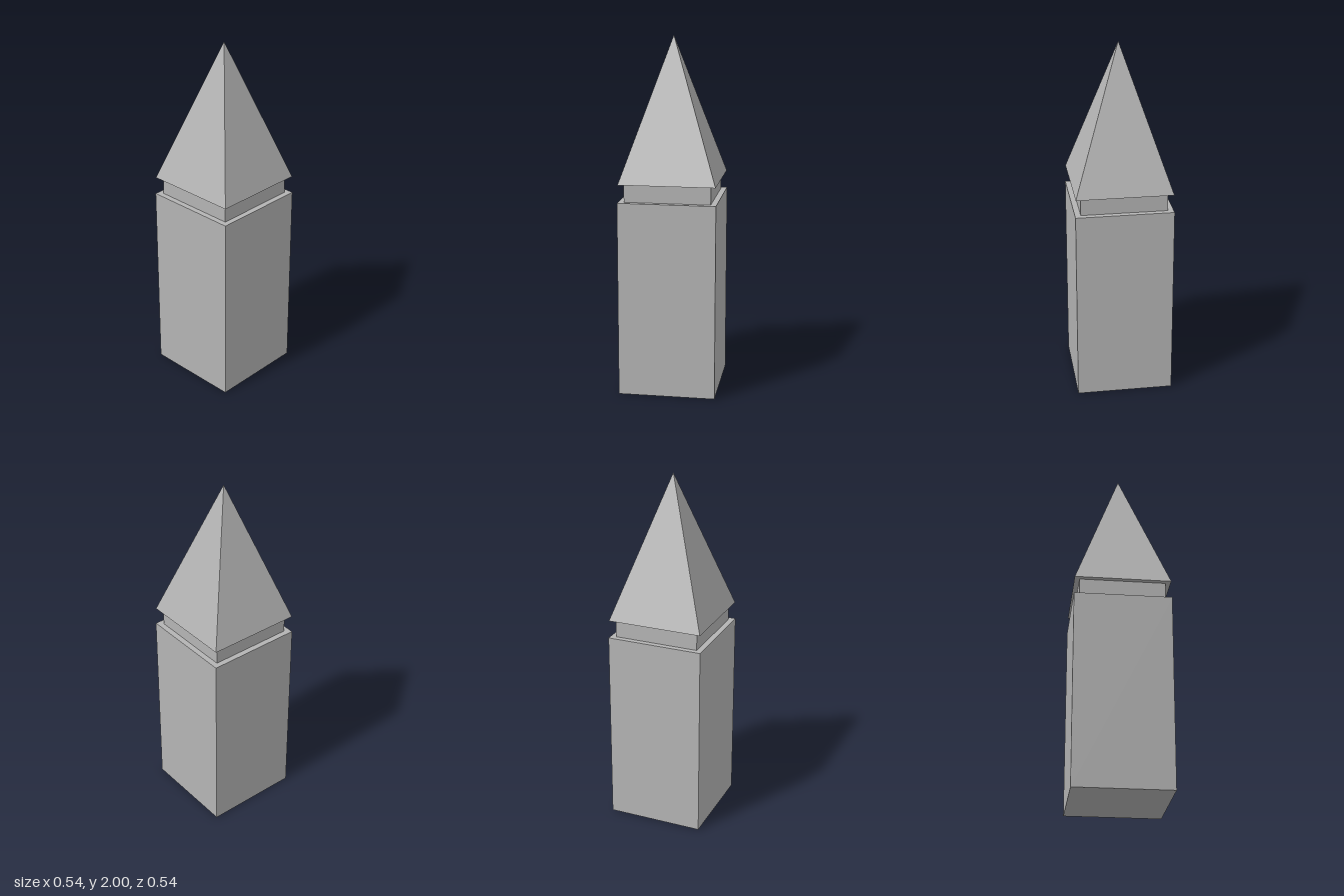
import * as THREE from 'three';

export function createModel() {
  const model = new THREE.Group();
  model.name = 'obelisk';
  const stone = new THREE.MeshStandardMaterial({ color: 0xb4b4b4, flatShading: true });
  stone.name = 'grey stone';

  const add = (name, geometry, y) => {
    const mesh = new THREE.Mesh(geometry, stone);
    mesh.name = name;
    mesh.position.y = y;
    model.add(mesh);
  };
  const block = (name, width, bottom, top) =>
    add(name, new THREE.BoxGeometry(width, top - bottom, width), (bottom + top) / 2);

  // Square shaft and the narrower neck above it
  block('shaft', 0.544, 0, 1.104);
  block('neck', 0.48, 1.104, 1.204);

  // Four-sided spire, turned so its faces line up with the shaft
  const spireBottom = 1.204, spireHeight = 2 - spireBottom;
  const spire = new THREE.ConeGeometry(0.269 * Math.SQRT2, spireHeight, 4).rotateY(Math.PI / 4);
  add('spire', spire, spireBottom + spireHeight / 2);

  return model;
}
